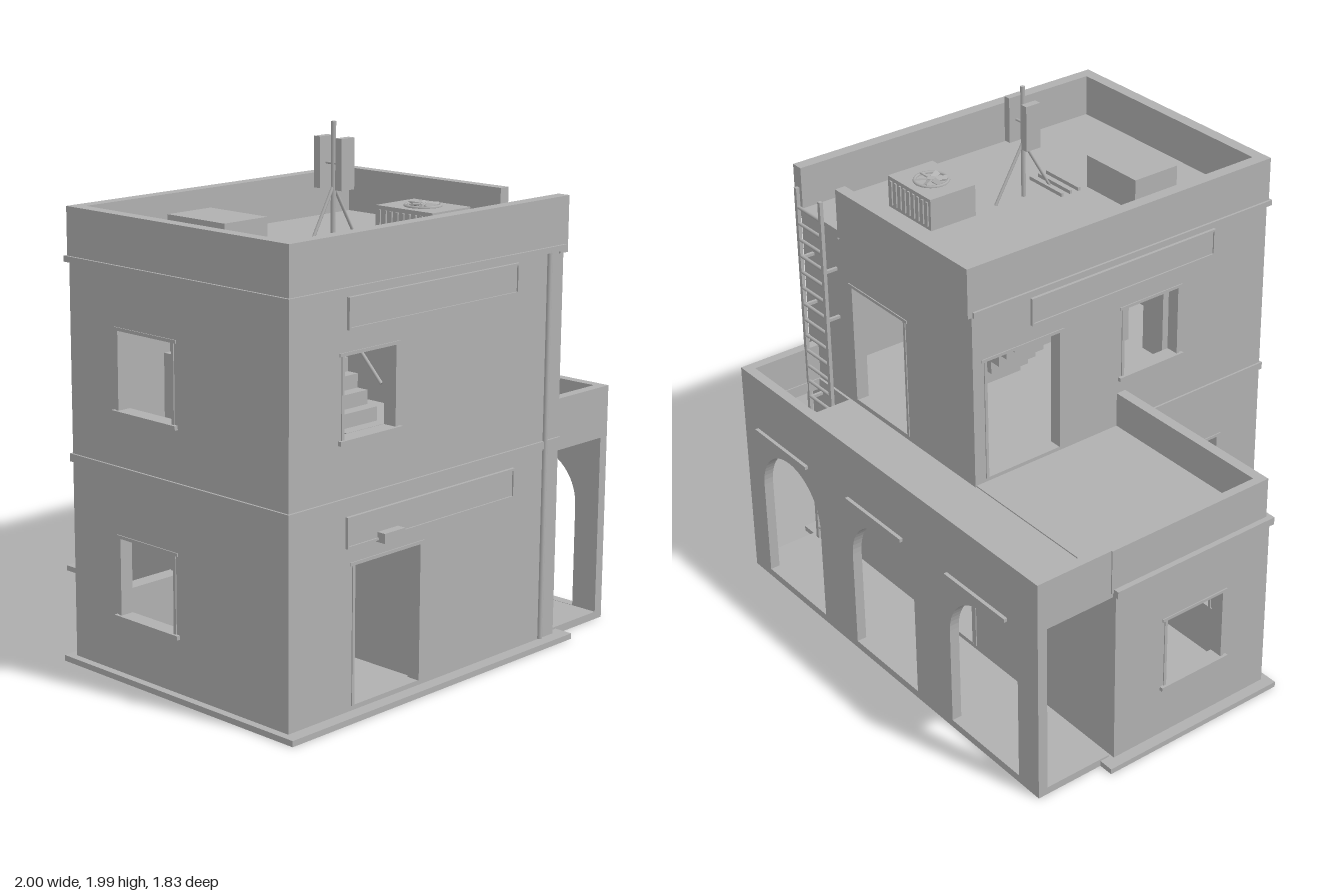
import * as THREE from 'three';

export function createModel() {
  const root = new THREE.Group();
  const plaster = new THREE.MeshStandardMaterial({ color: 0xb0b0b0 });
  plaster.name = 'plaster grey';

  const add = (name, geo, parent = root) => {
    const m = new THREE.Mesh(geo, plaster);
    m.name = name;
    parent.add(m);
    return m;
  };
  // Box given by its minimum and maximum on each axis
  const box = (name, x0, x1, y0, y1, z0, z1, parent) => add(name,
    new THREE.BoxGeometry(x1 - x0, y1 - y0, z1 - z0)
      .translate((x0 + x1) / 2, (y0 + y1) / 2, (z0 + z1) / 2), parent);
  // Round bar between two points
  const bar = (name, a, b, r, parent) => {
    const p = new THREE.Vector3(...a), q = new THREE.Vector3(...b);
    const m = add(name, new THREE.CylinderGeometry(r, r, p.distanceTo(q), 8), parent);
    m.position.copy(p).lerp(q, 0.5);
    m.quaternion.setFromUnitVectors(new THREE.Vector3(0, 1, 0), q.sub(p).normalize());
    return m;
  };
  const poly = pts => new THREE.Shape(pts.map(p => new THREE.Vector2(...p)));
  const rect = (a, b, c, d) => poly([[a, c], [b, c], [b, d], [a, d]]);
  const arch = (cx, r, y0, spring) => {
    const s = new THREE.Shape();
    s.moveTo(cx - r, y0);
    s.lineTo(cx + r, y0);
    s.lineTo(cx + r, spring);
    s.absarc(cx, spring, r, 0, Math.PI, false);
    s.closePath();
    return s;
  };
  const T = 0.045;
  const panel = (a, b, y0, y1, holes, t) => {
    const s = rect(a, b, y0, y1);
    s.holes.push(...holes);
    return new THREE.ExtrudeGeometry(s, { depth: t, bevelEnabled: false, curveSegments: 14 });
  };
  // Wall facing z (starts at z0) and wall facing x (ends at x1)
  const wallZ = (name, a, b, y0, y1, z0, holes = [], t = T) =>
    add(name, panel(a, b, y0, y1, holes, t).translate(0, 0, z0));
  const wallX = (name, a, b, y0, y1, x1, holes = [], t = T) =>
    add(name, panel(a, b, y0, y1, holes, t).rotateY(-Math.PI / 2).translate(x1, 0, 0));
  // Thin frame around an opening, with an optional sill
  const trim = (axis, side, at, a, b, y0, y1, sill = true) => {
    const f = 0.012, d = 0.05, o = 0.004;
    const lo = side > 0 ? at - d : at - o, hi = side > 0 ? at + o : at + d;
    const part = (n, p, q, c, e, l = lo, h = hi) => axis === 'z'
      ? box(n, p, q, c, e, l, h) : box(n, l, h, c, e, p, q);
    part('frame', a, a + f, y0, y1);
    part('frame', b - f, b, y0, y1);
    part('frameHead', a - 0.01, b + 0.01, y1 - f, y1);
    if (sill) part('sill', a - 0.015, b + 0.015, y0 - 0.016, y0, side > 0 ? at - d : at - 0.014, side > 0 ? at + 0.014 : at + d);
  };

  // Ground slab and floors
  add('groundSlab', new THREE.ExtrudeGeometry(
    poly([[-1, 0.6], [1, 0.6], [1, -0.91], [-0.18, -0.91], [-0.18, -0.21], [-1, -0.21]]),
    { depth: 0.022, bevelEnabled: false }).rotateX(-Math.PI / 2));
  box('arcadeFloor', -0.94, 0.925, 0, 0.03, -0.885, -0.56);
  box('upperFloor', -0.13, 0.94, 0.745, 0.785, -0.53, 0.87);
  box('towerRoof', -0.13, 0.94, 1.49, 1.53, -0.53, 0.87);
  box('wingRoof', -0.94, -0.13, 0.735, 0.785, -0.545, 0.17);

  // Tower walls, two storeys
  wallZ('towerFrontWall', -0.145, 0.95, 0.02, 1.52, 0.88 - T,
    [rect(0.1, 0.4, 0.24, 0.54), rect(0.1, 0.4, 1, 1.3)]);
  wallZ('towerBackWall', -0.145, 0.95, 0.02, 1.52, -0.55,
    [rect(-0.18 + 0.05, 0.17, 0.04, 0.55), rect(0.27, 0.63, 0.8, 1.31)]);
  wallX('towerRightWall', -0.549, 0.879, 0.02, 1.52, 0.95,
    [rect(0.21, 0.57, 0.04, 0.56), rect(0.35, 0.63, 1, 1.3)]);
  wallX('towerLeftWall', -0.549, 0.879, 0.02, 1.52, -0.145 + T,
    [rect(0.39, 0.67, 0.24, 0.54), rect(0.15, 0.44, 1, 1.3), rect(-0.5, -0.14, 0.8, 1.31)]);
  for (const y of [0.24, 1]) trim('z', 1, 0.88, 0.1, 0.4, y, y + 0.3);
  trim('x', 1, 0.95, 0.35, 0.63, 1, 1.3);
  trim('x', -1, -0.145, 0.39, 0.67, 0.24, 0.54);
  trim('x', -1, -0.145, 0.15, 0.44, 1, 1.3);
  trim('x', -1, -0.145, -0.5, -0.14, 0.8, 1.31, false);
  trim('z', -1, -0.55, 0.27, 0.63, 0.8, 1.31, false);
  trim('z', -1, -0.55, -0.13, 0.17, 0.04, 0.55, false);
  trim('x', 1, 0.95, 0.21, 0.57, 0.04, 0.56, false);

  // Tower parapet, open at the ladder
  const P = 0.05;
  box('parapetFront', -0.15, 0.955, 1.5, 1.7, 0.885 - P, 0.885);
  box('parapetLeft', -0.15, -0.15 + P, 1.5, 1.7, -0.57, 0.885);
  box('parapetRight', 0.955 - P, 0.955, 1.5, 1.7, -0.57, 0.885);
  box('parapetBack', -0.15, 0.67, 1.5, 1.7, -0.57, -0.525);
  box('parapetThreshold', 0.67, 0.955, 1.49, 1.53, -0.57, -0.525);

  // Cornice bands: along the front, sides and back
  const band = (y0, y1, o) => {
    box('corniceFront', -0.145 - o, 0.95 + o, y0, y1, 0.87, 0.88 + o);
    box('corniceRight', 0.94, 0.95 + o, y0, y1, -0.55, 0.88 + o);
    box('corniceLeft', -0.145 - o, -0.135, y0, y1, y0 < 1 ? 0.18 : -0.55, 0.88 + o);
  };
  band(0.765, 0.795, 0.008);
  band(1.5, 1.522, 0.014);

  // Side wing with parapet
  wallZ('wingFrontWall', -0.955, -0.12, 0.02, 0.76, 0.18 - T, [rect(-0.71, -0.43, 0.24, 0.54)]);
  wallZ('wingBackWall', -0.955, -0.12, 0.02, 0.76, -0.55);
  wallX('wingSideWall', -0.549, 0.179, 0.02, 0.76, -0.955 + T, [rect(-0.32, -0.03, 0.24, 0.54)]);
  trim('z', 1, 0.18, -0.71, -0.43, 0.24, 0.54);
  trim('x', -1, -0.955, -0.32, -0.03, 0.24, 0.54);
  box('wingParapetFront', -0.945, -0.14, 0.75, 0.93, 0.13, 0.172);
  box('wingParapetSide', -0.945, -0.91, 0.75, 0.93, -0.56, 0.172);
  box('wingCorniceFront', -0.967, -0.14, 0.735, 0.765, 0.16, 0.192);
  box('wingCorniceSide', -0.967, -0.93, 0.735, 0.765, -0.55, 0.192);

  // Rear arcade: three arches, open ends, roof terrace with ladder hatch
  const bays = [-0.625, -0.005, 0.615];
  wallZ('arcadeWall', -0.94, 0.925, 0.03, 0.93, -0.885, bays.map(x => arch(x, 0.2, 0.031, 0.44)), 0.04);
  for (const x of [-0.9, 0.925]) wallX('arcadeEnd', -0.85, -0.55, 0.73, 0.93, x, [], 0.04);
  add('arcadeRoof', new THREE.ExtrudeGeometry((() => {
    const s = rect(-0.91, 0.89, 0.545, 0.86);
    s.holes.push(rect(0.67, 0.88, 0.56, 0.74));
    return s;
  })(), { depth: 0.04, bevelEnabled: false }).rotateX(-Math.PI / 2).translate(0, 0.74, 0));
  for (const x of bays) box('facadeLampBar', x - 0.175, x + 0.175, 0.712, 0.726, -0.922, -0.908);

  // Sign boards with a thin raised border
  const sign = (axis, at, dir, a, b, y0, y1) => {
    const lo = Math.min(at, at + dir * 0.006), hi = Math.max(at, at + dir * 0.006);
    const e = dir * 0.006, f = 0.008;
    const part = (n, p, q, c, d, o) => axis === 'x'
      ? box(n, lo + o, hi + o, c, d, p, q) : box(n, p, q, c, d, lo + o, hi + o);
    part('signBoard', a, b, y0, y1, 0);
    part('signBorder', a, b, y0, y0 + f, e);
    part('signBorder', a, b, y1 - f, y1, e);
    part('signBorder', a, a + f, y0, y1, e);
    part('signBorder', b - f, b, y0, y1, e);
  };
  sign('x', 0.95, 1, -0.285, 0.605, 1.375, 1.487);
  sign('x', 0.95, 1, -0.285, 0.605, 0.615, 0.727);
  sign('x', -0.145, -1, -0.285, 0.605, 1.375, 1.487);
  sign('z', -0.55, -1, -0.44, 0.43, 0.615, 0.727);

  // Door lamp and drain pipe
  box('doorLamp', 0.945, 0.99, 0.607, 0.643, 0.345, 0.45);
  bar('drainPipe', [0.955, 0.025, -0.465], [0.955, 1.51, -0.465], 0.01);

  // Ladder
  const ladder = new THREE.Group();
  ladder.name = 'ladder';
  root.add(ladder);
  for (const x of [0.72, 0.88]) {
    box('ladderRail', x - 0.008, x + 0.008, 0.035, 1.64, -0.615, -0.6, ladder);
    for (const y of [0.07, 0.5, 0.71, 1.13, 1.34])
      box('ladderBracket', x - 0.006, x + 0.006, y - 0.006, y + 0.006, -0.605, -0.545, ladder);
  }
  for (let y = 0.09; y < 1.6; y += 0.07)
    bar('ladderRung', [0.72, y, -0.608], [0.88, y, -0.608], 0.007, ladder);

  // Rooftop crate and cooling unit with slats and fan
  box('roofBox', 0.08, 0.37, 1.53, 1.665, 0.4, 0.61);
  box('coolingUnit', 0.44, 0.715, 1.53, 1.66, -0.3, -0.09);
  for (let i = 0; i < 9; i++) {
    const x = 0.46 + i * 0.029;
    for (const z of [-0.306, -0.09]) box('coolingSlat', x - 0.006, x + 0.006, 1.545, 1.645, z, z + 0.006);
  }
  const fan = new THREE.Group();
  fan.name = 'fan';
  fan.position.set(0.577, 1.662, -0.195);
  root.add(fan);
  add('fanRing', new THREE.TorusGeometry(0.065, 0.007, 6, 28).rotateX(Math.PI / 2), fan);
  add('fanHub', new THREE.CylinderGeometry(0.018, 0.018, 0.016, 16), fan);
  for (let i = 0; i < 6; i++) {
    const b = add('fanBlade', new THREE.BoxGeometry(0.05, 0.005, 0.022).rotateX(0.4).translate(0.038, 0.004, 0), fan);
    b.rotation.y = i * Math.PI / 3;
  }

  // Antenna mast with tripod, panels and ballast bars
  bar('mast', [0.46, 1.53, 0.157], [0.46, 1.99, 0.157], 0.009);
  for (const z of [0.02, 0.29]) bar('mastLeg', [0.46, 1.53, z], [0.46, 1.76, 0.157], 0.006);
  for (const x of [0.41, 0.515]) {
    box('antennaPanel', x - 0.015, x + 0.015, 1.75, 1.935, 0.123, 0.19);
    bar('panelArm', [0.46, 1.84, 0.157], [x, 1.84, 0.157], 0.005);
  }
  for (const z of [0.27, 0.312, 0.354]) box('ballastBar', 0.36, 0.56, 1.53, 1.545, z - 0.006, z + 0.006);

  // Interior: stair flights with handrails, cabinet and open door leaf
  for (const y of [0.022, 0.785]) {
    for (let i = 0; i < 10; i++)
      box('stairStep', 0.42 - i * 0.05, 0.48 - i * 0.05, y + i * 0.055, y + 0.055 + i * 0.055, -0.12, 0.1);
    bar('handrail', [0.45, y + 0.2, -0.12], [0, y + 0.66, -0.12], 0.007);
  }
  box('cabinet', 0.13, 0.25, 0.785, 1.18, 0.6, 0.68);
  box('lowCabinet', 0.34, 0.45, 0.785, 1.08, 0.45, 0.6);
  box('doorLeaf', 0.58, 0.905, 0.04, 0.55, 0.195, 0.21);
  return root;
}
